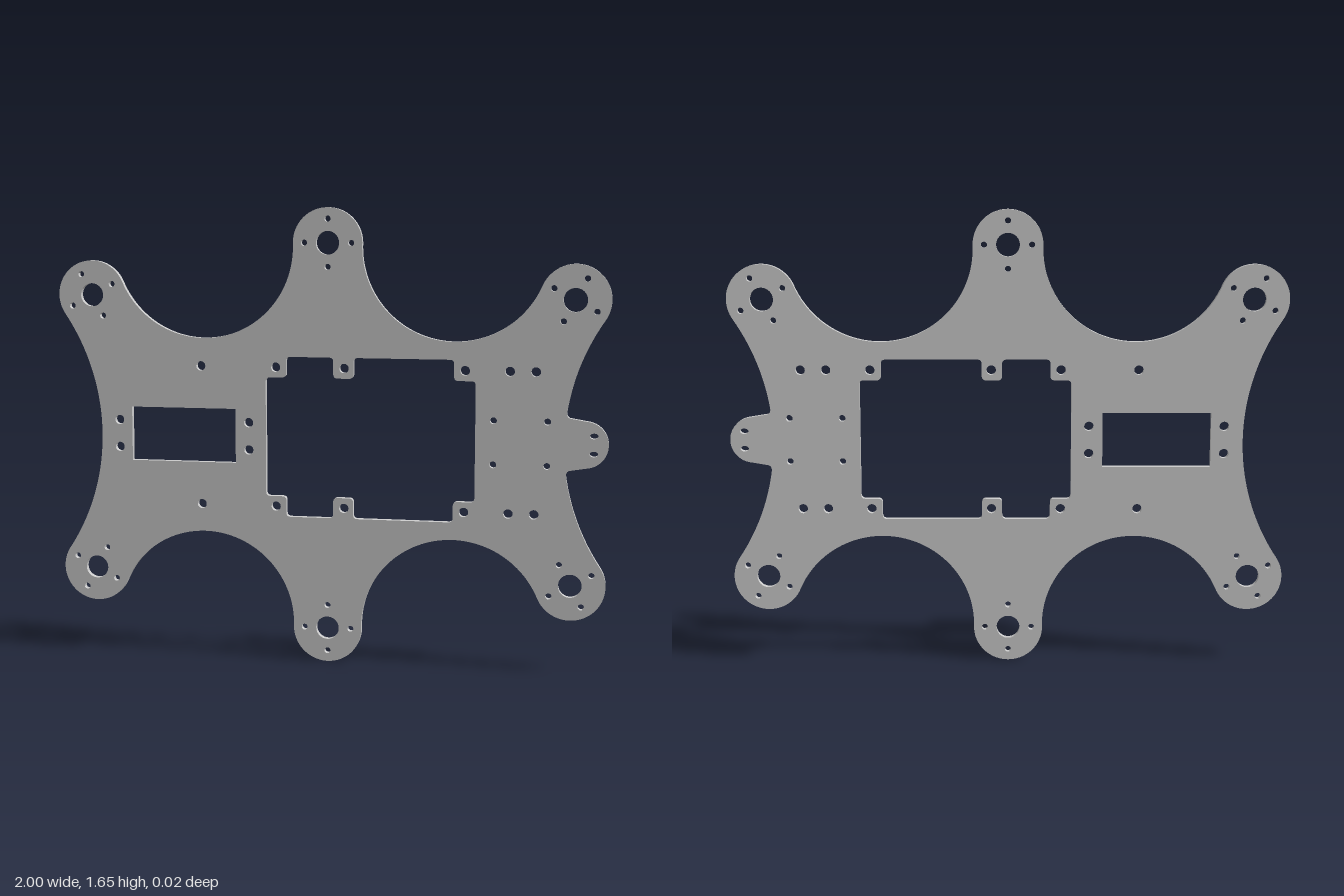
import * as THREE from 'three';
import { toCreasedNormals } from 'three/addons/utils/BufferGeometryUtils.js';

const THICKNESS = 0.022, MID_Y = 0.825, LOBE_R = 0.125;
const LOBE_X = 0.875, LOBE_Y = 0.507, END_Y = 0.7;

// Motor lobes, counter-clockwise, each with the radius of the concave arc that follows it
const lobes = [
  { x: LOBE_X, y: -LOBE_Y, gap: 0.782 },
  { x: LOBE_X, y: LOBE_Y, gap: 0.331 },
  { x: 0, y: END_Y, gap: 0.331 },
  { x: -LOBE_X, y: LOBE_Y, gap: 0.782 },
  { x: -LOBE_X, y: -LOBE_Y, gap: 0.331 },
  { x: 0, y: -END_Y, gap: 0.331 },
];

// Centre of the outside circle tangent to two lobes
function valleyCentre(a, b) {
  const dx = b.x - a.x, dy = b.y - a.y, len = Math.hypot(dx, dy);
  const off = Math.sqrt((a.gap + LOBE_R) ** 2 - (len / 2) ** 2);
  return { x: (a.x + b.x) / 2 + (dy / len) * off, y: (a.y + b.y) / 2 - (dx / len) * off };
}

const angle = (from, to) => Math.atan2(to.y - from.y, to.x - from.x);

function plateOutline() {
  const shape = new THREE.Shape();
  const n = lobes.length;
  const valleys = lobes.map((l, i) => valleyCentre(l, lobes[(i + 1) % n]));
  lobes.forEach((lobe, i) => {
    const next = lobes[(i + 1) % n], v = valleys[i], prev = valleys[(i + n - 1) % n];
    shape.absarc(lobe.x, lobe.y, LOBE_R, angle(lobe, prev), angle(lobe, v), false);
    const start = angle(v, lobe), end = angle(v, next);
    if (i === 0) {
      // the right-hand arc is interrupted by a rounded tab
      const cut = Math.asin(0.11 / lobe.gap);
      const edgeX = v.x - lobe.gap * Math.cos(cut);
      shape.absarc(v.x, v.y, lobe.gap, start, Math.PI + cut, true);
      shape.quadraticCurveTo(edgeX + 0.002, -0.093, edgeX + 0.016, -0.092);
      shape.absarc(0.917, 0, 0.083, -Math.PI / 2 + 0.1, Math.PI / 2 - 0.1, false);
      shape.lineTo(edgeX + 0.016, 0.092);
      shape.quadraticCurveTo(edgeX + 0.002, 0.093, edgeX, 0.11);
      shape.absarc(v.x, v.y, lobe.gap, Math.PI - cut, end, true);
    } else {
      shape.absarc(v.x, v.y, lobe.gap, start, end, true);
    }
  });
  return shape;
}

// Closed polygon with rounded corners
function roundedPath(points, r) {
  const path = new THREE.Path();
  const pts = points.map(([x, y]) => new THREE.Vector2(x, y));
  pts.forEach((p, i) => {
    const a = pts[(i + pts.length - 1) % pts.length], b = pts[(i + 1) % pts.length];
    const p0 = p.clone().add(a.clone().sub(p).setLength(r));
    const p1 = p.clone().add(b.clone().sub(p).setLength(r));
    if (i === 0) path.moveTo(p0.x, p0.y);
    else path.lineTo(p0.x, p0.y);
    path.quadraticCurveTo(p.x, p.y, p1.x, p1.y);
  });
  path.closePath();
  return path;
}

function plateHoles() {
  const holes = [];
  const round = (x, y, rx, ry = rx) =>
    holes.push(new THREE.Path().absellipse(x, y, rx, ry, 0, Math.PI * 2, true));
  const pair = (x, y, rx, ry) => [1, -1].forEach((s) => round(x, s * y, rx, ry));

  // motor mounts: shaft hole and four screws
  for (const { x, y } of lobes) {
    round(x, y, 0.042);
    const turn = x === 0 ? 0 : Math.sign(x * y) * 1.08;
    for (let k = 0; k < 4; k++) {
      const a = turn + (k * Math.PI) / 2;
      round(x + 0.085 * Math.cos(a), y + 0.085 * Math.sin(a), 0.011);
    }
  }

  // screw holes in mirrored rows
  for (const x of [-0.468, -0.19, 0.06, 0.494, 0.652, 0.743]) pair(x, 0.254, 0.017);
  for (const x of [-0.778, -0.291]) pair(x, 0.05, 0.017);
  for (const x of [0.596, 0.786]) pair(x, 0.079, 0.012);
  pair(0.949, 0.032, 0.015, 0.01);

  // small rectangular window
  holes.push(new THREE.Path([[-0.73, -0.099], [-0.73, 0.099], [-0.34, 0.099], [-0.34, -0.099]]
    .map(([x, y]) => new THREE.Vector2(x, y))));

  // large window with screw ears along its top and bottom
  const inner = 0.217, outer = 0.292;
  const top = [
    [-0.227, inner], [-0.152, inner], [-0.152, outer], [0.021, outer], [0.021, inner],
    [0.094, inner], [0.094, outer], [0.455, outer], [0.455, inner], [0.532, inner],
  ];
  const bottom = top.map(([x, y]) => [x, -y]).reverse();
  holes.push(roundedPath([...top, ...bottom], 0.016));
  return holes;
}

export function createModel() {
  const group = new THREE.Group();
  group.name = 'framePlate';
  const shape = plateOutline();
  shape.holes.push(...plateHoles());
  const extruded = new THREE.ExtrudeGeometry(shape, {
    depth: THICKNESS, bevelEnabled: false, curveSegments: 32,
  });
  extruded.translate(0, MID_Y, -THICKNESS / 2);
  const plate = new THREE.Mesh(
    toCreasedNormals(extruded, 0.6),
    new THREE.MeshStandardMaterial({ color: 0xcccccc }),
  );
  plate.name = 'plate';
  group.add(plate);
  return group;
}
